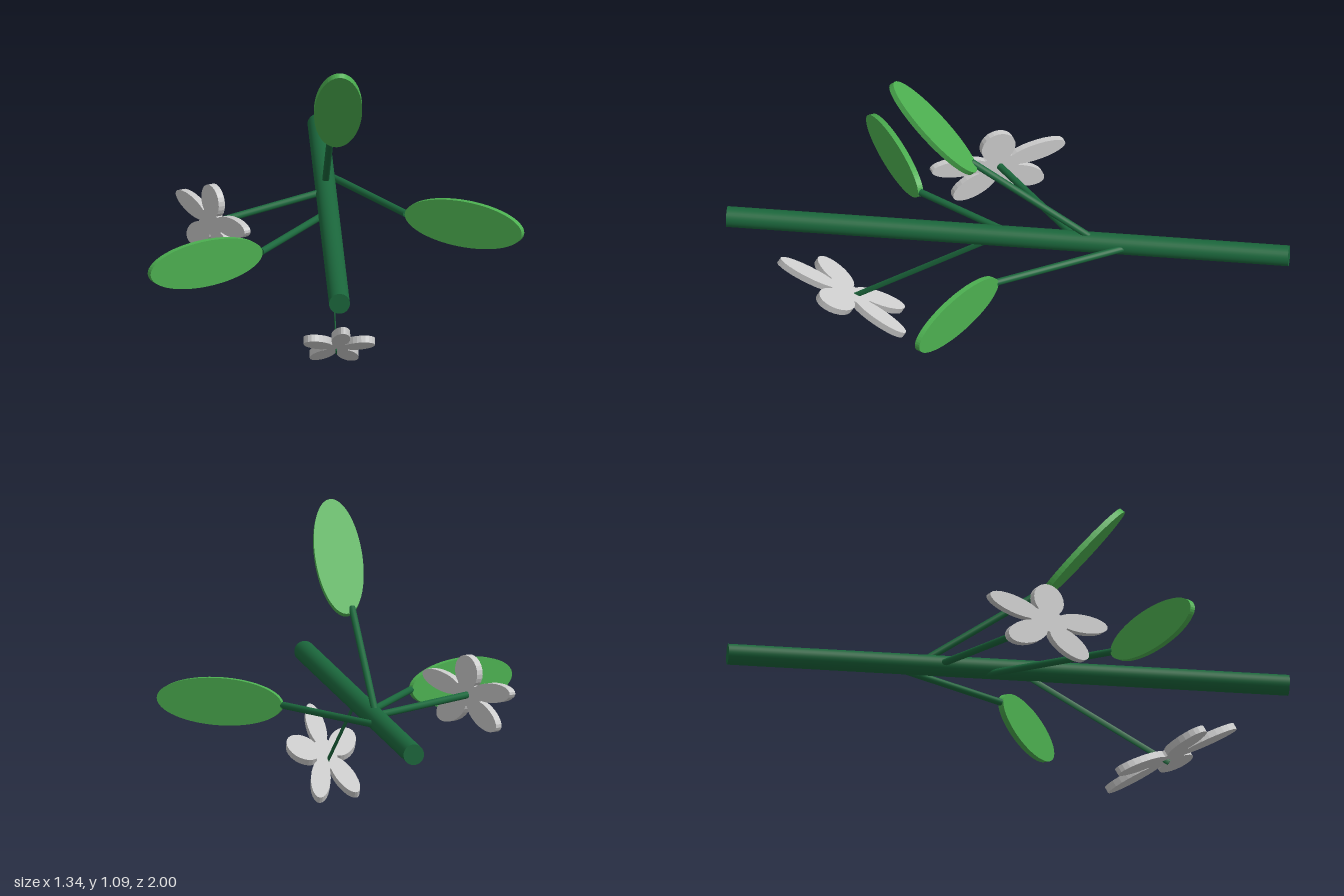
import * as THREE from 'three';

const V = (x, y, z) => new THREE.Vector3(x, y, z);
const green = new THREE.MeshStandardMaterial({ color: 0x1b673c });
const leafGreen = new THREE.MeshStandardMaterial({ color: 0x4caf50 });
const grey = new THREE.MeshStandardMaterial({ color: 0xcccccc });

// Round rod between two points; flat narrows it across its local x axis
function rod(name, a, b, radius, sides, flat = 1) {
  const dir = b.clone().sub(a);
  const mesh = new THREE.Mesh(new THREE.CylinderGeometry(radius, radius, dir.length(), sides), green);
  mesh.name = name;
  mesh.scale.x = flat;
  mesh.quaternion.setFromUnitVectors(V(0, 1, 0), dir.normalize());
  mesh.position.copy(a).add(b).multiplyScalar(0.5);
  return mesh;
}

// Thin plate cut from a shape and laid in the plane of two axes
function plate(name, shape, depth, material, centre, xAxis, yAxis) {
  const geo = new THREE.ExtrudeGeometry(shape, { depth, bevelEnabled: false, curveSegments: 32 });
  geo.translate(0, 0, -depth / 2);
  const normal = xAxis.clone().cross(yAxis).normalize();
  geo.applyMatrix4(new THREE.Matrix4().makeBasis(xAxis, yAxis, normal).setPosition(centre));
  geo.computeVertexNormals();
  const mesh = new THREE.Mesh(geo, material);
  mesh.name = name;
  return mesh;
}

// Oval blade from its base to its tip
function leaf(name, base, tip, across) {
  const along = tip.clone().sub(base);
  const shape = new THREE.Shape().absellipse(0, 0, along.length() / 2, 0.085, 0, Math.PI * 2);
  const centre = base.clone().add(tip).multiplyScalar(0.5);
  return plate(name, shape, 0.02, leafGreen, centre, along.normalize(), across);
}

// Outline of five rounded petals, the first pointing along +y
function petals(turn) {
  const points = [];
  for (let i = 0; i < 5; i++) {
    const a = Math.PI / 2 + turn + (i * Math.PI * 2) / 5;
    for (let j = 0; j <= 18; j++) {
      const t = -2.4 + (4.8 * j) / 18;
      const p = new THREE.Vector2(0.08 + 0.06 * Math.cos(t), 0.034 * Math.sin(t));
      points.push(p.rotateAround(new THREE.Vector2(), a));
    }
  }
  return new THREE.Shape(points);
}

export function createModel() {
  const group = new THREE.Group();
  group.name = 'floweringBranch';

  // Main stem
  group.add(rod('mainStem', V(-0.013, 0.415, -1), V(-0.013, 0.415, 1), 0.037, 32));

  // Leaf stalks and blades
  const leaves = [
    ['leftLeaf', V(-0.01, 0.415, -0.45), V(0.26, 0.415, 0.01), V(0.665, 0.415, 0.245), V(0, 1, 0)],
    ['rightLeaf', V(-0.013, 0.39, -0.09), V(-0.265, 0.39, 0.34), V(-0.67, 0.39, 0.572), V(0, 1, 0)],
    ['topLeaf', V(-0.013, 0.44, -0.29), V(-0.013, 0.733, 0.13), V(0.01, 1.068, 0.412), V(1, 0, 0)],
  ];
  for (const [name, root, joint, tip, across] of leaves) {
    group.add(rod(name + 'Stalk', root, joint, 0.0125, 16));
    const base = joint.clone();
    if (name === 'topLeaf') base.set(0.01, 0.71, 0.115);
    group.add(leaf(name, base, tip, across));
  }

  // Side flower, stretched along the stem direction
  group.add(rod('sideFlowerStalk', V(-0.013, 0.415, -0.255), V(-0.415, 0.415, 0.075), 0.0125, 16));
  group.add(plate('sideFlower', petals(0), 0.025, grey, V(-0.425, 0.417, 0.085),
    V(0.45, 0, 0.89).multiplyScalar(1.88), V(0, 1, 0)));

  // Hanging flower on a flat, thin stalk
  group.add(rod('lowerFlowerStalk', V(-0.008, 0.4, 0.06), V(-0.008, 0.09, 0.575), 0.011, 16, 0.25));
  group.add(plate('lowerFlower', petals(-0.08), 0.025, grey, V(-0.003, 0.118, 0.572),
    V(0.95, 0, 0), V(0, 0.487, 0.873).multiplyScalar(1.98)));

  return group;
}
